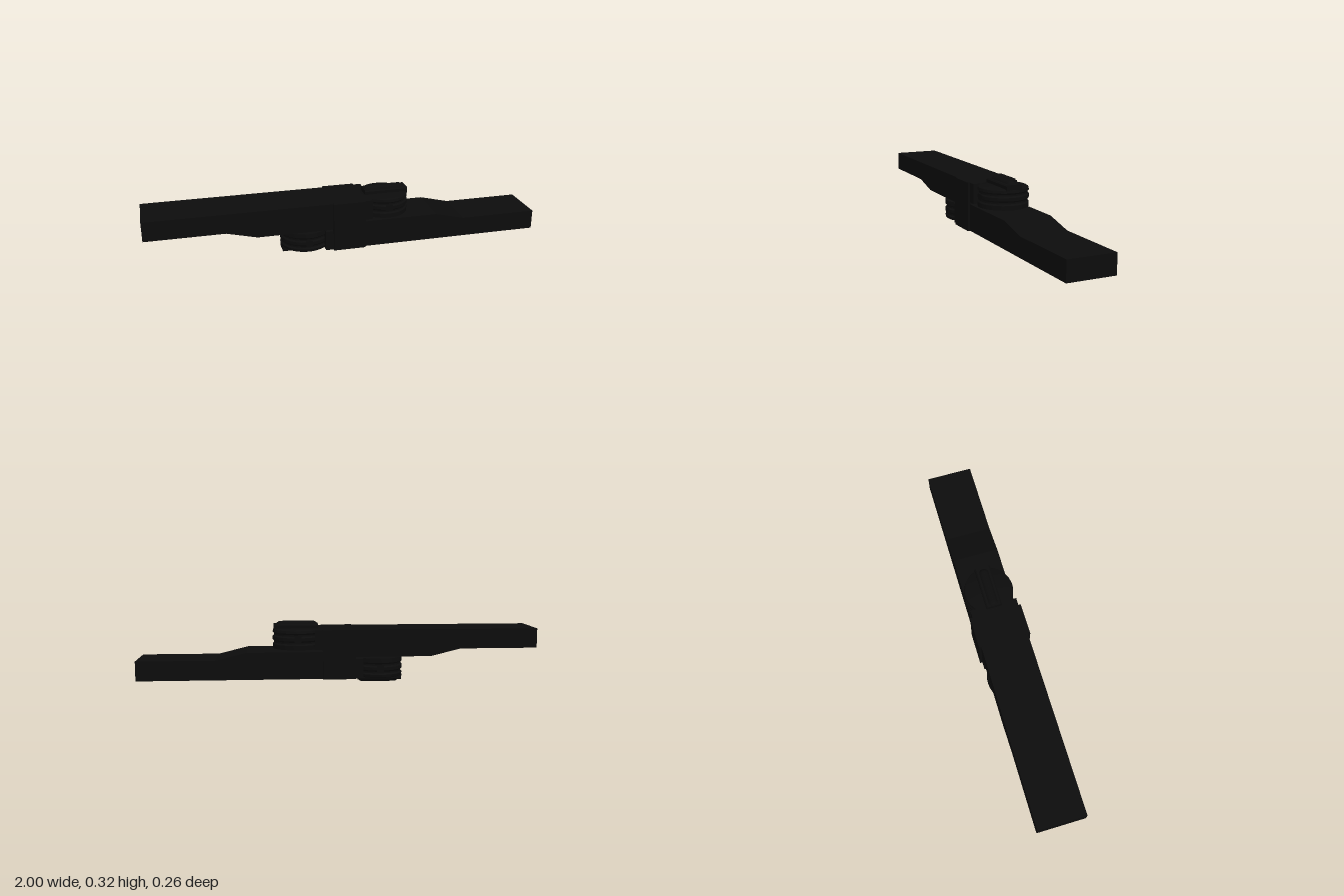
import * as THREE from 'three';
import { toCreasedNormals } from 'three/addons/utils/BufferGeometryUtils.js';

const MID = 0.158; // height of the axis the two halves turn around
const material = new THREE.MeshStandardMaterial({ color: 0x0c0c0c });

function add(parent, name, geometry) {
  const mesh = new THREE.Mesh(geometry, material);
  mesh.name = name;
  parent.add(mesh);
  return mesh;
}

// Outline of [a, b] points pushed out to a width and centred on it
function slab(points, width) {
  const shape = new THREE.Shape(points.map(([a, b]) => new THREE.Vector2(a, b)));
  const geometry = new THREE.ExtrudeGeometry(shape, { depth: width, bevelEnabled: false });
  return geometry.translate(0, 0, -width / 2);
}

// One half: a strap that thickens toward the middle and ends in a grooved knob
function createHalf(name) {
  const half = new THREE.Group();
  half.name = name;

  add(half, 'strap', slab([
    [-1, 0.122], [-1, 0.024], [-0.61, 0.024], [-0.46, -0.013], [-0.08, -0.013],
    [-0.08, 0], [0.08, 0], [0.08, 0.023], [0.12, 0.023], [0.12, 0.122],
  ], 0.24));

  // Round knob with two grooves around its rim
  const rim = [
    [0, 0.023], [0.124, 0.023], [0.125, 0.045], [0.118, 0.052], [0.118, 0.06], [0.125, 0.067],
    [0.125, 0.083], [0.118, 0.09], [0.118, 0.098], [0.125, 0.105], [0.122, 0.118], [0.115, 0.122], [0, 0.124],
  ];
  const knob = new THREE.LatheGeometry(rim.map(([r, y]) => new THREE.Vector2(r, y)), 40);
  add(half, 'knob', toCreasedNormals(knob, 0.6)).position.x = 0.205;

  // Raised grip across the knob: a flat bar with a rounded ridge on it
  const bar = slab([
    [-0.04, 0.115], [0.04, 0.115], [0.04, 0.138], [0.034, 0.144], [-0.034, 0.144], [-0.04, 0.138],
  ], 0.222).rotateY(Math.PI / 2);
  add(half, 'gripBar', bar).position.x = 0.213;

  const ridge = new THREE.CapsuleGeometry(0.027, 0.16, 8, 20).rotateZ(Math.PI / 2);
  add(half, 'gripRidge', ridge).position.set(0.208, 0.131, 0);

  // Small tabs at the widest points of the knob
  for (const side of [-1, 1]) {
    add(half, 'knobTab', new THREE.BoxGeometry(0.035, 0.03, 0.012)).position.set(0.205, 0.075, side * 0.119);
  }
  return half;
}

export function createModel() {
  const model = new THREE.Group();
  model.name = 'strapClasp';

  const upper = createHalf('upperHalf');
  const lower = createHalf('lowerHalf');
  lower.rotation.z = Math.PI;
  for (const half of [upper, lower]) {
    half.position.y = MID;
    model.add(half);
  }

  // Side plates holding the halves together
  for (const side of [-1, 1]) {
    add(model, 'sidePlate', new THREE.BoxGeometry(0.162, 0.246, 0.032)).position.set(0, MID, side * 0.116);
  }
  return model;
}
